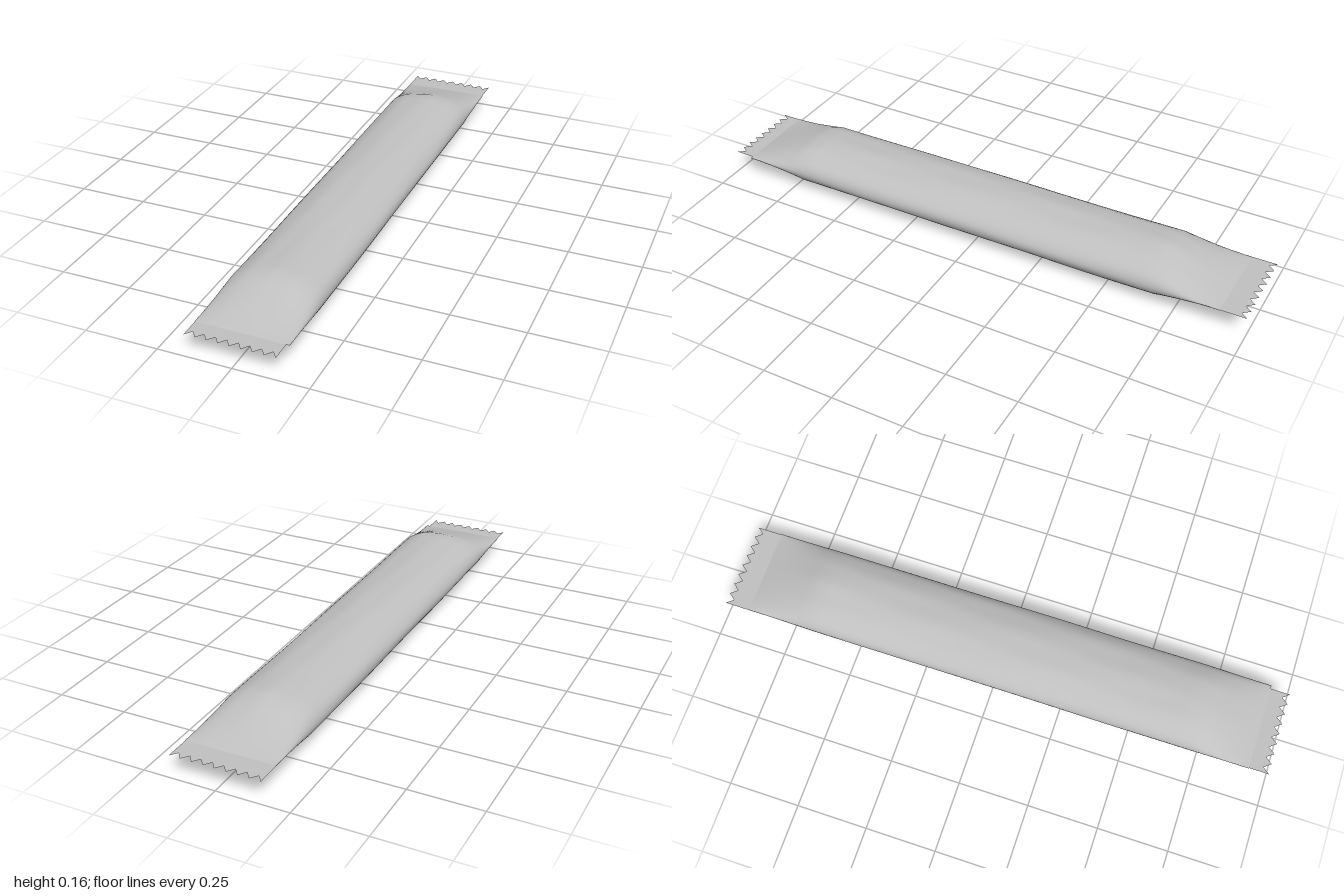
import * as THREE from 'three';

const MID = 0.084, HALF_W = 0.157;

// Puffed pouch: elliptical cross-sections that pinch flat at both ends
function pouchGeometry() {
  const stations = [0.93, 0.9, 0.85, 0.8, 0.75, 0.71];
  for (let i = 1; i < 28; i++) stations.push(0.71 - (1.39 * i) / 28);
  stations.push(-0.68, -0.73, -0.78, -0.83, -0.88, -0.91);
  const sides = 48, pos = [], index = [];
  for (const z of stations) {
    const fill = Math.min(1, (0.93 - z) / 0.22, (z + 0.91) / 0.23);
    const h = 0.0008 + 0.0755 * fill;
    for (let j = 0; j < sides; j++) {
      const a = (j / sides) * Math.PI * 2;
      const c = Math.cos(a), s = Math.sin(a);
      // soft lengthwise wrinkles in the foil
      const w = 0.025 * Math.sin(5 * a + 4 * z) * Math.sin(7 * z + 2 * a)
        + 0.012 * Math.sin(11 * a - 5 * z) + 0.015 * Math.sin(9 * z + Math.sign(s));
      pos.push(HALF_W * c * (1 + 0.15 * w * fill), MID + h * s * (1 + w * fill), z);
    }
  }
  for (let i = 0; i < stations.length - 1; i++) {
    for (let j = 0; j < sides; j++) {
      const k = (j + 1) % sides;
      const a = i * sides + j, b = i * sides + k;
      const c = a + sides, d = b + sides;
      index.push(a, c, b, b, c, d);
    }
  }
  const g = new THREE.BufferGeometry();
  g.setAttribute('position', new THREE.Float32BufferAttribute(pos, 3));
  g.setIndex(index);
  g.computeVertexNormals();
  return g;
}

// Flat crimped strip with a saw-tooth outer edge
function sealGeometry(x0, x1, zIn, zOut, teeth) {
  const dir = Math.sign(zOut);
  const shape = new THREE.Shape();
  shape.moveTo(x0, -zIn);
  for (let i = 0; i <= teeth * 2; i++) {
    const z = zOut - (i % 2 ? dir * 0.024 : 0);
    shape.lineTo(x0 + ((x1 - x0) * i) / (teeth * 2), -z);
  }
  shape.lineTo(x1, -zIn);
  shape.closePath();
  const g = new THREE.ShapeGeometry(shape);
  g.rotateX(-Math.PI / 2);
  g.translate(0, MID, 0);
  return g;
}

export function createModel() {
  const foil = new THREE.MeshStandardMaterial({ color: 0xc0c0c0, side: THREE.DoubleSide });
  foil.name = 'silver foil';
  const group = new THREE.Group();
  group.name = 'wrapper';
  const add = (name, geometry) => {
    const mesh = new THREE.Mesh(geometry, foil);
    mesh.name = name;
    group.add(mesh);
  };
  add('pouch', pouchGeometry());
  add('frontSeal', sealGeometry(-0.155, 0.145, 0.925, 1, 8));
  add('backSeal', sealGeometry(-0.157, 0.155, -0.905, -1, 8));
  return group;
}
